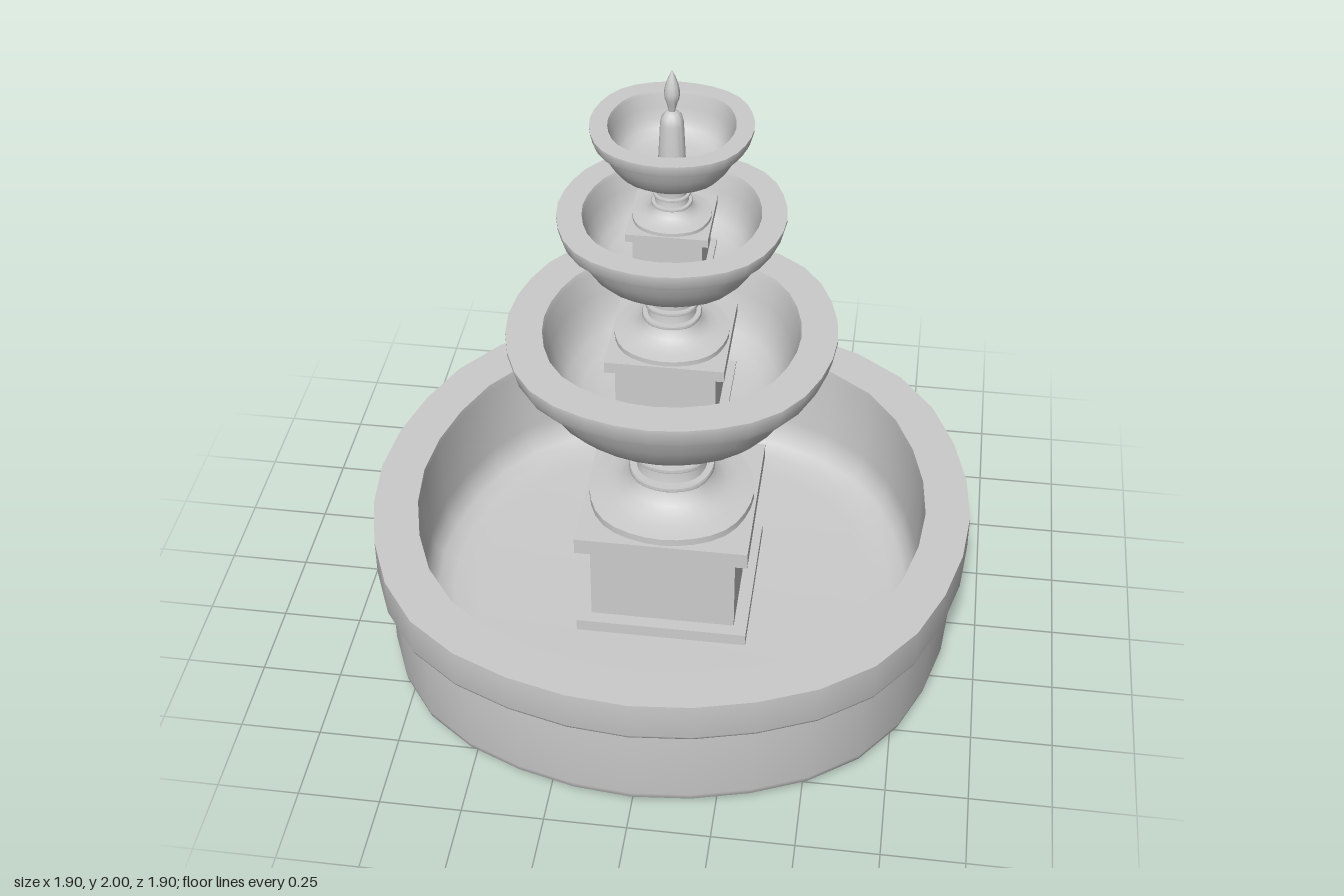
import * as THREE from 'three';
import { toCreasedNormals } from 'three/addons/utils/BufferGeometryUtils.js';

const stone = new THREE.MeshStandardMaterial({ color: 0xcccccc });

// Turned part from [radius, height] points, swelling slightly on the diagonals,
// smooth round the axis with crisp edges
function turned(name, points, segments = 32) {
  const profile = points.map(([r, y]) => new THREE.Vector2(r, y));
  const lathe = new THREE.LatheGeometry(profile, segments);
  const pos = lathe.attributes.position;
  for (let i = 0; i < pos.count; i++) {
    const x = pos.getX(i), z = pos.getZ(i);
    const swell = 1 + 0.035 * Math.sin(2 * Math.atan2(x, z)) ** 4;
    pos.setXYZ(i, x * swell, pos.getY(i), z * swell);
  }
  const mesh = new THREE.Mesh(toCreasedNormals(lathe, 0.75), stone);
  mesh.name = name;
  return mesh;
}

// Square block with the given half width, between two heights
function block(name, half, bottom, top) {
  const mesh = new THREE.Mesh(new THREE.BoxGeometry(half * 2, top - bottom, half * 2), stone);
  mesh.name = name;
  mesh.position.y = (bottom + top) / 2;
  return mesh;
}

// Wide pool with an overhanging rim and a rounded floor
function createBasin() {
  return turned('basin', [
    [0, 0], [0.55, 0], [0.82, 0.005], [0.87, 0.01], [0.894, 0.018], [0.905, 0.03], [0.909, 0.05],
    [0.909, 0.324], [0.938, 0.324], [0.945, 0.329], [0.948, 0.338], [0.948, 0.461],
    [0.808, 0.461], [0.806, 0.44], [0.803, 0.19], [0.792, 0.135], [0.765, 0.1], [0.715, 0.083], [0.64, 0.077], [0, 0.077],
  ]);
}

// Square plinth with a turned column on it; y = 0 is the top of the plinth
function createPedestal() {
  const pedestal = new THREE.Group();
  pedestal.add(
    block('plinthBase', 0.272, -0.39, -0.345),
    block('plinthBody', 0.23, -0.345, -0.055),
    block('plinthCap', 0.272, -0.055, 0),
    turned('column', [
      [0, 0], [0.263, 0], [0.263, 0.024], [0.215, 0.03], [0.175, 0.04], [0.145, 0.06], [0.125, 0.085],
      [0.113, 0.115], [0.106, 0.185], [0.108, 0.255], [0.116, 0.285], [0.14, 0.31], [0.14, 0.325], [0, 0.325],
    ]),
  );
  for (const [radius, y] of [[0.136, 0.117], [0.126, 0.184], [0.135, 0.254]]) {
    const h = 0.01;
    const ring = turned('columnRing', [
      [0.09, -h], [radius - 0.003, -h], [radius, -h / 2], [radius, h / 2], [radius - 0.003, h], [0.09, h],
    ]);
    ring.position.y = y;
    pedestal.add(ring);
  }
  return pedestal;
}

// Round bowl with a projecting lip; y = 0 is its underside
function createBowl() {
  return turned('bowl', [
    [0, 0], [0.12, 0], [0.2, 0.013], [0.27, 0.037], [0.325, 0.073], [0.37, 0.123],
    [0.405, 0.18], [0.43, 0.23], [0.446, 0.268], [0.48, 0.27], [0.49, 0.29], [0.502, 0.335], [0.502, 0.347],
    [0.392, 0.347], [0.386, 0.33], [0.373, 0.25], [0.354, 0.185], [0.326, 0.133],
    [0.28, 0.103], [0.22, 0.089], [0, 0.086],
  ]);
}

export function createModel() {
  const fountain = new THREE.Group();
  fountain.name = 'tieredFountain';
  fountain.add(createBasin());

  // Three shrinking tiers, each a pedestal carrying a bowl
  const tiers = [
    { name: 'lowerTier', plinthTop: 0.463, size: 1, bowlBottom: 0.767, bowlWidth: 1, bowlHeight: 1 },
    { name: 'middleTier', plinthTop: 1.095, size: 0.66, bowlBottom: 1.294, bowlWidth: 0.67, bowlHeight: 0.68 },
    { name: 'upperTier', plinthTop: 1.518, size: 0.44, bowlBottom: 1.652, bowlWidth: 0.467, bowlHeight: 0.503 },
  ];
  for (const t of tiers) {
    const tier = new THREE.Group();
    tier.name = t.name;
    const pedestal = createPedestal();
    pedestal.name = 'pedestal';
    pedestal.position.y = t.plinthTop;
    pedestal.scale.setScalar(t.size);
    const bowl = createBowl();
    bowl.position.y = t.bowlBottom;
    bowl.scale.set(t.bowlWidth, t.bowlHeight, t.bowlWidth);
    tier.add(pedestal, bowl);
    fountain.add(tier);
  }

  // Domed stub with a pointed bud on top
  fountain.add(turned('finial', [
    [0, 1.69], [0.041, 1.69], [0.034, 1.83], [0.03, 1.85], [0.02, 1.862], [0.009, 1.868],
    [0.014, 1.89], [0.021, 1.91], [0.023, 1.928], [0.019, 1.95], [0.011, 1.975], [0, 2],
  ], 20));
  return fountain;
}
